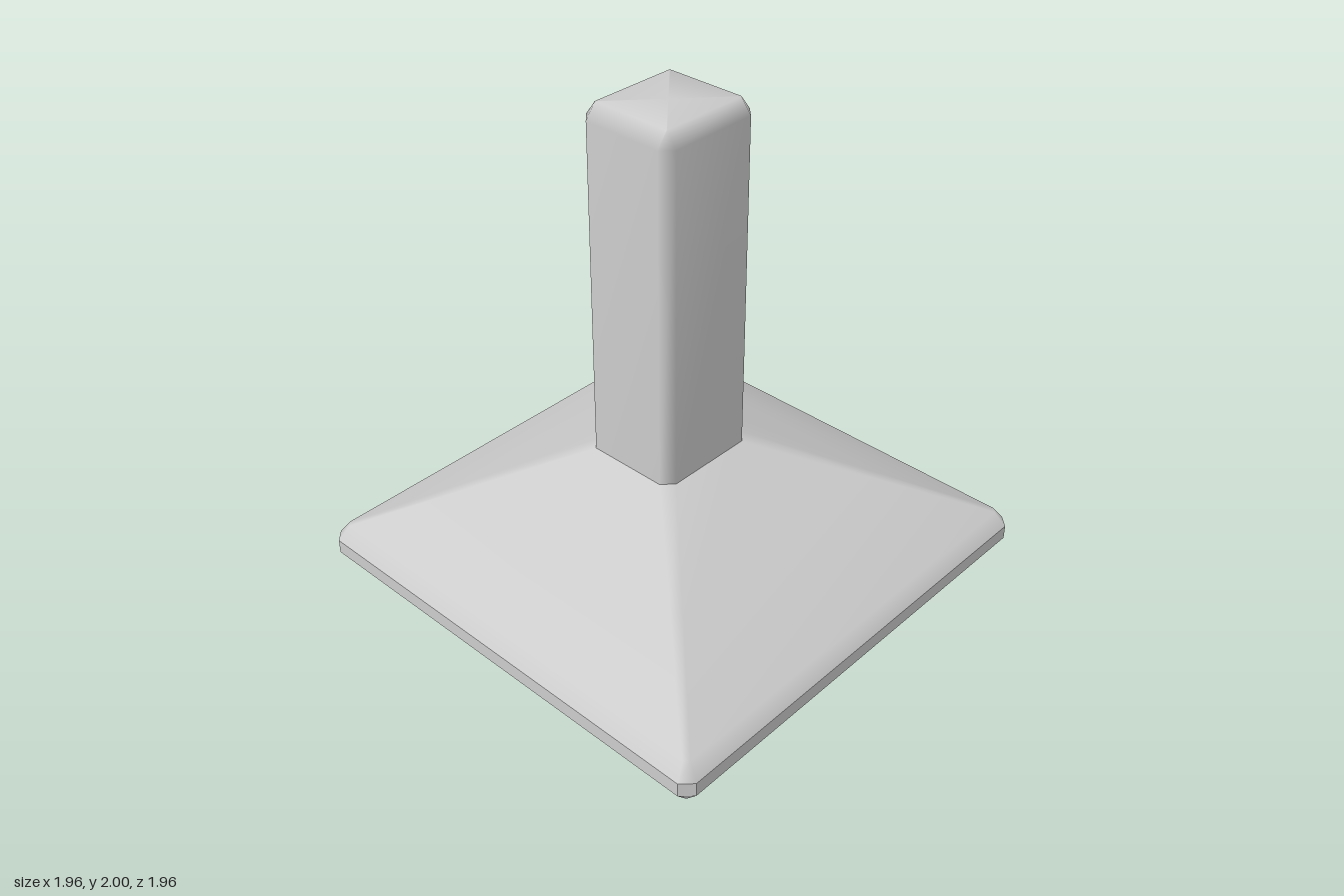
import * as THREE from 'three';

// Eight-point rectangular ring with cut corners, counter-clockwise seen from above
function ring(y, x0, x1, z0, z1, c) {
  return [
    [x1, y, z1 - c], [x1, y, z0 + c], [x1 - c, y, z0], [x0 + c, y, z0],
    [x0, y, z0 + c], [x0, y, z1 - c], [x0 + c, y, z1], [x1 - c, y, z1],
  ];
}

const square = (y, h, c) => ring(y, -h, h, -h, h, c);

// Skin consecutive rings, optionally closing the bottom or top with a fan
function loft(rings, { bottom = false, top = false, flat = false } = {}) {
  const n = 8, pos = rings.flat(2), idx = [];
  for (let r = 0; r < rings.length - 1; r++) {
    for (let i = 0; i < n; i++) {
      const j = (i + 1) % n;
      const a = r * n + i, b = r * n + j;
      idx.push(a, b, b + n, a, b + n, a + n);
    }
  }
  const cap = (r, up) => {
    const center = pos.length / 3;
    const mid = [0, 1, 2].map((k) => rings[r].reduce((s, p) => s + p[k], 0) / n);
    pos.push(...mid);
    for (let i = 0; i < n; i++) {
      const a = r * n + i, b = r * n + (i + 1) % n;
      idx.push(center, up ? a : b, up ? b : a);
    }
  };
  if (bottom) cap(0, false);
  if (top) cap(rings.length - 1, true);
  let geo = new THREE.BufferGeometry();
  geo.setAttribute('position', new THREE.Float32BufferAttribute(pos, 3));
  geo.setIndex(idx);
  if (flat) geo = geo.toNonIndexed();
  geo.computeVertexNormals(); // area weighting keeps the large faces flat
  return geo;
}

export function createModel() {
  const group = new THREE.Group();
  const material = new THREE.MeshStandardMaterial({ color: 0xcccccc });
  const add = (name, geo) => {
    const mesh = new THREE.Mesh(geo, material);
    mesh.name = name;
    group.add(mesh);
  };

  // Crisp lower edge of the slab
  add('baseRim', loft([
    square(0, 0.935, 0.003),
    square(0.05, 0.98, 0.045),
    square(0.11, 0.98, 0.045),
  ], { bottom: true, flat: true }));

  // Softly bevelled pyramid slopes, with a slight swelling on one rear ridge
  const shoulder = square(0.17, 0.935, 0.02);
  const neck = ring(0.545, -0.24, 0.19, -0.235, 0.235, 0.045);
  const middle = shoulder.map((p, i) => p.map((v, k) => (v + neck[i][k]) / 2));
  for (const i of [3, 4]) middle[i][1] += 0.012;
  add('baseSlopes', loft([square(0.11, 0.98, 0.045), shoulder, middle, neck]));

  // Bevelled square column, slightly off centre
  add('column', loft([
    ring(0.52, -0.24, 0.19, -0.235, 0.235, 0.045),
    ring(1.94, -0.24, 0.19, -0.235, 0.235, 0.045),
    ring(2, -0.197, 0.147, -0.19, 0.19, 0.003),
  ], { top: true }));

  return group;
}
